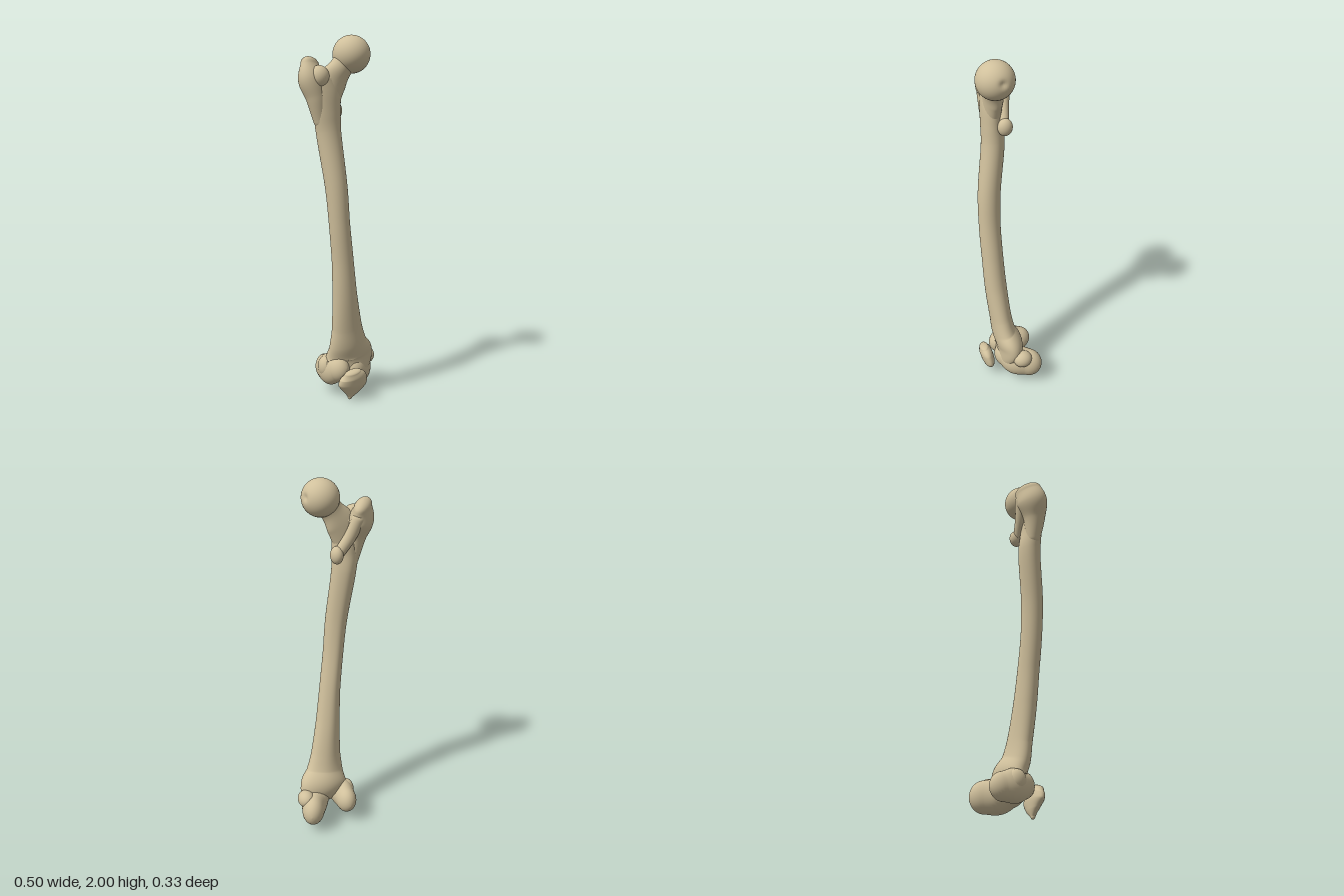
import * as THREE from 'three';

const bone = new THREE.MeshStandardMaterial({ color: 0xd0c09c });
bone.name = 'bone';

// Lofts rounded sections along a curve. Each station is [x, y, z, half width, half depth];
// side is the width direction, cap the length of the round ends, shape scales the section by angle.
function loft(name, stations, { side = [1, 0, 0], cap = 0.03, sides = 40, steps = 10, shape = () => 1 } = {}) {
  const path = new THREE.CatmullRomCurve3(stations.map(s => new THREE.Vector3(s[0], s[1], s[2])));
  const size = new THREE.CatmullRomCurve3(stations.map(s => new THREE.Vector3(s[3], s[4], 0)));
  const rows = [];
  const capRows = 8;
  for (let i = capRows; i > 0; i--) {
    const q = (i / capRows) * Math.PI / 2;
    rows.push({ t: 0, push: -Math.sin(q) * cap, scale: Math.cos(q) });
  }
  const n = steps * (stations.length - 1);
  for (let i = 0; i <= n; i++) rows.push({ t: i / n, push: 0, scale: 1 });
  for (let i = 1; i <= capRows; i++) {
    const q = (i / capRows) * Math.PI / 2;
    rows.push({ t: 1, push: Math.sin(q) * cap, scale: Math.cos(q) });
  }

  const positions = [], index = [];
  rows.forEach(({ t, push, scale }, r) => {
    const centre = path.getPoint(t), along = path.getTangent(t), half = size.getPoint(t);
    const u = new THREE.Vector3(...side);
    u.addScaledVector(along, -u.dot(along)).normalize();
    const v = new THREE.Vector3().crossVectors(along, u);
    for (let j = 0; j < sides; j++) {
      const a = (j / sides) * Math.PI * 2;
      const k = scale * shape(a, t);
      const p = centre.clone()
        .addScaledVector(along, push)
        .addScaledVector(u, half.x * k * Math.cos(a))
        .addScaledVector(v, half.y * k * Math.sin(a));
      positions.push(p.x, p.y, p.z);
      if (r < rows.length - 1) {
        const j2 = (j + 1) % sides, b = r * sides, c = b + sides;
        index.push(b + j, b + j2, c + j2, b + j, c + j2, c + j);
      }
    }
  });
  const geometry = new THREE.BufferGeometry();
  geometry.setAttribute('position', new THREE.Float32BufferAttribute(positions, 3));
  geometry.setIndex(index);
  geometry.computeVertexNormals();
  return named(name, geometry);
}

function named(name, geometry) {
  const mesh = new THREE.Mesh(geometry, bone);
  mesh.name = name;
  return mesh;
}

function knob(name, position, radii) {
  const mesh = named(name, new THREE.SphereGeometry(1, 32, 24));
  mesh.position.set(...position);
  mesh.scale.set(...radii);
  return mesh;
}

// Ball of the hip joint, with a small pit on its inner side
function ballHead() {
  const geometry = new THREE.SphereGeometry(0.1, 64, 48);
  const pit = new THREE.Vector3(1, 0.15, -0.15).normalize();
  const pos = geometry.attributes.position, p = new THREE.Vector3();
  for (let i = 0; i < pos.count; i++) {
    p.fromBufferAttribute(pos, i);
    const angle = p.angleTo(pit);
    p.multiplyScalar(1 - 0.12 * Math.exp(-((angle / 0.2) ** 2)));
    pos.setXYZ(i, p.x, p.y, p.z);
  }
  geometry.computeVertexNormals();
  const mesh = named('ballHead', geometry);
  mesh.position.set(0.036, 1.9, 0.064);
  return mesh;
}

export function createModel() {
  const model = new THREE.Group();
  model.name = 'thighBoneAndKneecap';

  const upperEnd = new THREE.Group();
  upperEnd.name = 'upperEnd';
  const lowerEnd = new THREE.Group();
  lowerEnd.name = 'lowerEnd';

  // Bowed shaft, flaring to the knee, with a ridge down the middle of its back
  model.add(loft('shaft', [
    [0.055, 0.13, 0.025, 0.11, 0.05],
    [0.06, 0.22, 0.0, 0.145, 0.075],
    [0.04, 0.3, 0.025, 0.113, 0.066],
    [0.025, 0.4, 0.04, 0.09, 0.06],
    [0.0, 0.6, 0.06, 0.07, 0.06],
    [-0.02, 0.8, 0.072, 0.06, 0.058],
    [-0.043, 1.0, 0.079, 0.057, 0.058],
    [-0.06, 1.2, 0.075, 0.06, 0.06],
    [-0.09, 1.5, 0.043, 0.069, 0.06],
    [-0.1, 1.6, 0.047, 0.076, 0.055],
    [-0.108, 1.7, 0.048, 0.083, 0.053],
    [-0.12, 1.77, 0.045, 0.085, 0.05],
  ], {
    sides: 56,
    shape: (a, t) => 1 + 0.09 * Math.sin(Math.PI * t) * Math.max(0, Math.sin(a)) ** 10,
  }));

  // Neck leaning inward to the ball
  upperEnd.add(ballHead(), loft('neck', [
    [-0.115, 1.66, 0.045, 0.085, 0.05],
    [-0.07, 1.76, 0.046, 0.084, 0.05],
    [-0.022, 1.83, 0.055, 0.064, 0.054],
    [0.02, 1.885, 0.062, 0.07, 0.068],
  ]));

  // Large outer knob, its crest running obliquely backward
  upperEnd.add(loft('greaterTrochanter', [
    [-0.135, 1.56, 0.042, 0.04, 0.04],
    [-0.158, 1.68, 0.037, 0.062, 0.055],
    [-0.174, 1.77, 0.015, 0.088, 0.067],
    [-0.17, 1.845, -0.01, 0.078, 0.042],
  ], { side: [0.74, 0, -0.68], cap: 0.042 }));
  upperEnd.add(knob('frontTubercle', [-0.152, 1.785, 0.058], [0.055, 0.06, 0.053]));

  // Ridge across the back to the small inner knob
  upperEnd.add(loft('rearCrest', [
    [-0.13, 1.79, -0.035, 0.035, 0.032],
    [-0.095, 1.7, -0.017, 0.034, 0.03],
    [-0.035, 1.61, 0.0, 0.03, 0.028],
  ]));
  upperEnd.add(knob('lesserTrochanter', [-0.022, 1.605, -0.005], [0.034, 0.048, 0.04]));

  // Two knee knuckles sweeping backward with a notch between them
  lowerEnd.add(loft('outerCondyle', [
    [-0.025, 0.16, 0.025, 0.06, 0.075],
    [-0.045, 0.145, -0.03, 0.064, 0.09],
    [-0.04, 0.135, -0.09, 0.058, 0.077],
  ], { cap: 0.072 }));
  lowerEnd.add(loft('innerCondyle', [
    [0.085, 0.145, 0.015, 0.066, 0.08],
    [0.135, 0.13, -0.03, 0.075, 0.095],
    [0.172, 0.127, -0.088, 0.064, 0.088],
  ], { cap: 0.08 }));
  lowerEnd.add(knob('innerEpicondyle', [0.196, 0.185, -0.045], [0.048, 0.05, 0.055]));
  lowerEnd.add(knob('outerEpicondyle', [-0.075, 0.165, -0.03], [0.041, 0.06, 0.05]));

  // Kneecap, broad above and pointed below
  model.add(loft('kneecap', [
    [0.008, 0.014, 0.107, 0.012, 0.012],
    [0.014, 0.05, 0.11, 0.052, 0.025],
    [0.018, 0.1, 0.12, 0.089, 0.036],
    [0.016, 0.14, 0.13, 0.08, 0.036],
    [0.01, 0.168, 0.138, 0.05, 0.026],
  ], { cap: 0.014 }));

  model.add(upperEnd, lowerEnd);
  return model;
}
